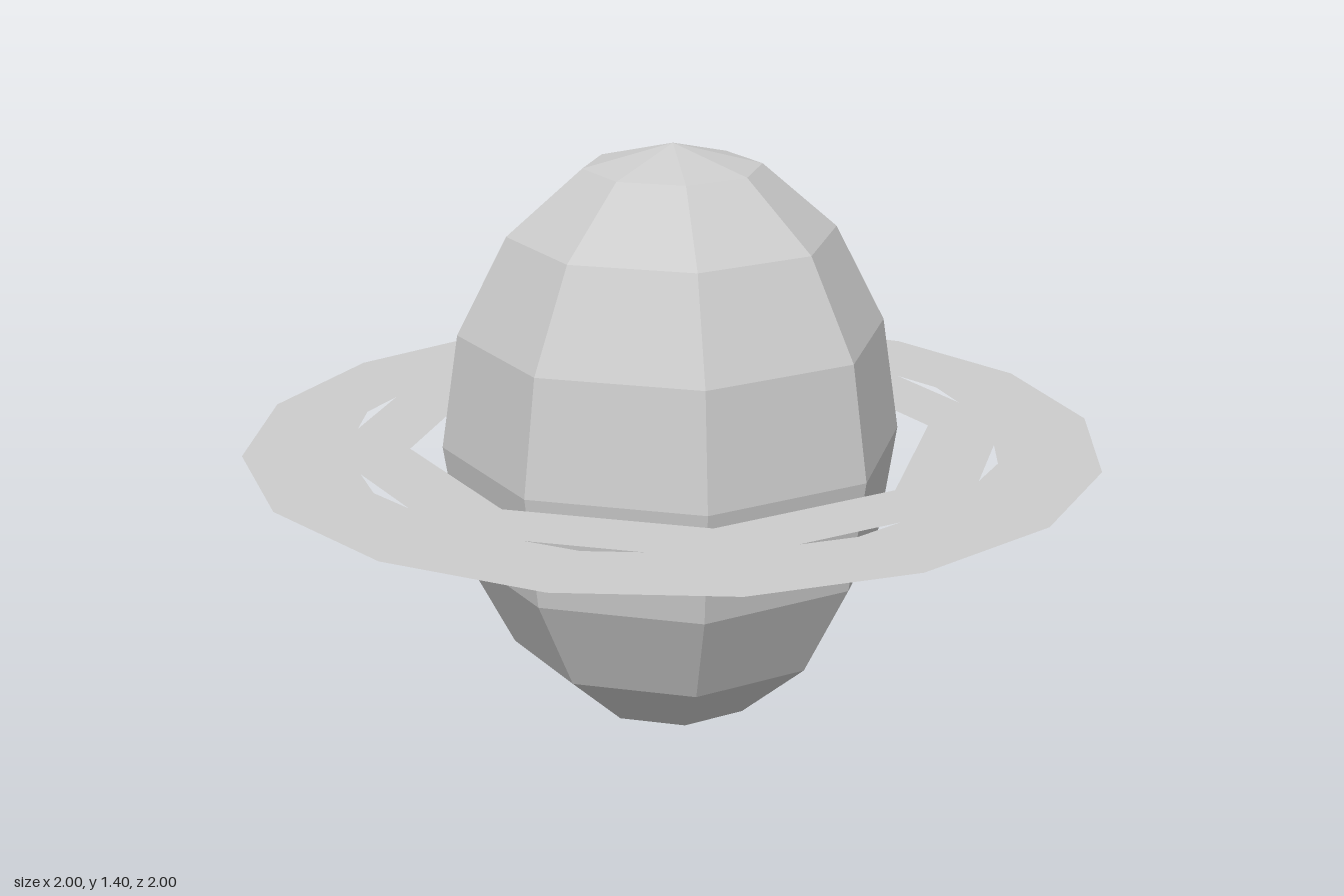
import * as THREE from 'three';

const CENTRE_Y = 0.702;

// Corner points of a regular polygon with one corner on the x axis
function polygon(radius, sides) {
  return Array.from({ length: sides }, (_, i) => {
    const a = (i / sides) * Math.PI * 2;
    return new THREE.Vector2(Math.cos(a) * radius, Math.sin(a) * radius);
  });
}

export function createModel() {
  const group = new THREE.Group();
  group.name = 'ringedPlanet';

  const planetGrey = new THREE.MeshStandardMaterial({ color: 0xcccccc, flatShading: true, side: THREE.DoubleSide });
  planetGrey.name = 'lightGrey';

  // Faceted, upright egg-shaped planet
  const planetGeometry = new THREE.SphereGeometry(1, 8, 8);
  planetGeometry.scale(0.54, CENTRE_Y, 0.54);
  const planet = new THREE.Mesh(planetGeometry, planetGrey);
  planet.name = 'planet';
  planet.position.y = CENTRE_Y;
  group.add(planet);

  // Flat ring: sixteen-sided outside, eight-sided inside
  const ringShape = new THREE.Shape(polygon(1, 16));
  ringShape.holes.push(new THREE.Path(polygon(0.615, 8)));

  // Eight thin triangular gaps between the inner and outer bands
  for (let i = 0; i < 8; i++) {
    const angle = ((i + 0.5) / 8) * Math.PI * 2;
    const origin = new THREE.Vector2();
    const gap = [[0.739, -0.13], [0.765, 0], [0.739, 0.13]].map(
      ([x, y]) => new THREE.Vector2(x, y).rotateAround(origin, angle)
    );
    ringShape.holes.push(new THREE.Path(gap));
  }

  const ringGeometry = new THREE.ShapeGeometry(ringShape);
  ringGeometry.rotateX(-Math.PI / 2);
  const ring = new THREE.Mesh(ringGeometry, planetGrey);
  ring.name = 'ring';
  ring.position.y = CENTRE_Y;
  group.add(ring);

  return group;
}
